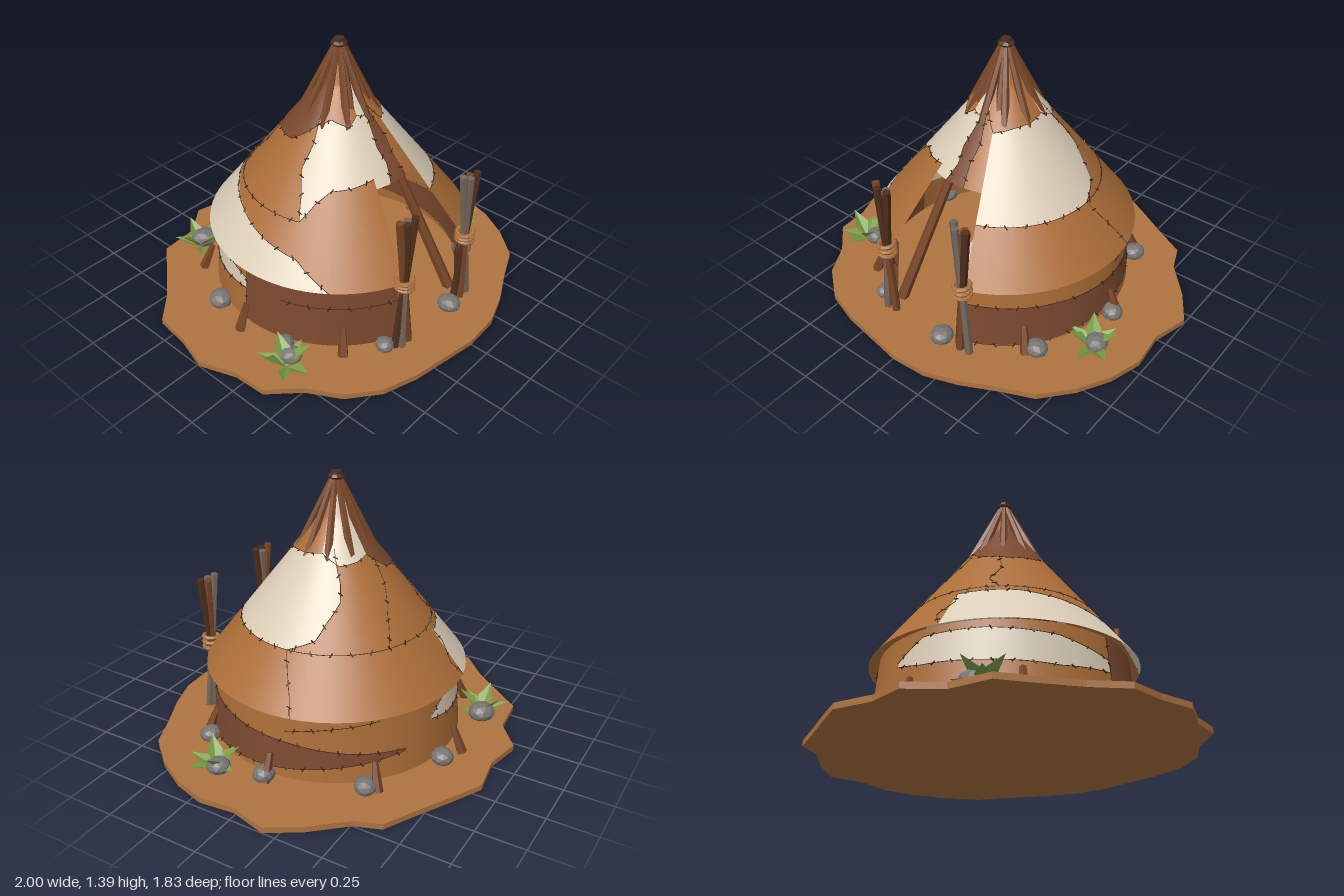
import * as THREE from 'three';

const mat = (name, color, extra = {}) => new THREE.MeshStandardMaterial({ name, color, ...extra });
const cloth = { side: THREE.DoubleSide };
const flat = { flatShading: true };
const M = {
  tan: mat('tan hide', 0xac6e38, cloth),
  red: mat('red brown hide', 0x7b492f, cloth),
  cream: mat('cream hide', 0xdccfb9, cloth),
  earth: mat('earth', 0xae7340, flat),
  wood: mat('wood', 0x784526, flat),
  dark: mat('dark wood', 0x4f2e1b, flat),
  weathered: mat('weathered wood', 0x75655a, flat),
  stone: mat('stone', 0x777472, flat),
  leaf: mat('leaf', 0x7b9f46, { flatShading: true, side: THREE.DoubleSide }),
  seam: mat('seam thread', 0x3a2415),
};
const RAD = Math.PI / 180;
const V = (x, y, z) => new THREE.Vector3(x, y, z);

// Radius by height for the roof and the lower wall
const ROOF = [[0.4, 0.675], [1.02, 0.2], [1.18, 0.085], [1.33, 0.03]];
const WALL = [[0.05, 0.655], [0.42, 0.62]];
function radiusAt(profile, y) {
  let i = 0;
  while (i < profile.length - 2 && y > profile[i + 1][0]) i++;
  const [y0, r0] = profile[i], [y1, r1] = profile[i + 1];
  return r0 + (r1 - r0) * (y - y0) / (y1 - y0);
}
// Angle 0 is the front, 90 is +x
const polar = (deg, r, y) => V(Math.sin(deg * RAD) * r, y, Math.cos(deg * RAD) * r);
const onSurface = (profile, [a, y], lift = 0) => polar(a, radiusAt(profile, y) + lift, y);

// Point at fraction t of a polyline of [angle, height] points
function along(pts, t) {
  const f = t * (pts.length - 1), i = Math.min(Math.floor(f), pts.length - 2), k = f - i;
  return [0, 1].map(j => pts[i][j] + (pts[i + 1][j] - pts[i][j]) * k);
}

function add(parent, name, geo, material) {
  const m = new THREE.Mesh(geo, material);
  m.name = name;
  parent.add(m);
  return m;
}

// Hide panel stretched between two polylines on a surface of revolution
function panel(parent, name, profile, material, a, b, lift = 0) {
  const n = 24, pos = [], idx = [];
  for (let i = 0; i <= n; i++) for (let j = 0; j <= n; j++) {
    const p = along(a, i / n), q = along(b, i / n), k = j / n;
    pos.push(...onSurface(profile, [p[0] + (q[0] - p[0]) * k, p[1] + (q[1] - p[1]) * k], lift).toArray());
  }
  // Keep the outside as the front whichever way the outlines run
  const e = (u, v) => [u[0] - v[0], u[1] - v[1]];
  const d1 = e(along(a, 0.6), along(a, 0.4)), d2 = e(along(b, 0.5), along(a, 0.5));
  const flip = d1[0] * d2[1] - d1[1] * d2[0] < 0;
  for (let i = 0; i < n; i++) for (let j = 0; j < n; j++) {
    const p = i * (n + 1) + j, q = p + n + 1;
    if (flip) idx.push(p, p + 1, q, q, p + 1, q + 1);
    else idx.push(p, q, p + 1, q, q + 1, p + 1);
  }
  const g = new THREE.BufferGeometry();
  g.setAttribute('position', new THREE.Float32BufferAttribute(pos, 3));
  g.setIndex(idx);
  g.computeVertexNormals();
  add(parent, name, g, material);
}

// Tapered stick between two points
function rod(parent, name, a, b, ra, rb, material, sides = 6) {
  const m = add(parent, name, new THREE.CylinderGeometry(rb, ra, a.distanceTo(b), sides), material);
  m.position.copy(a).add(b).multiplyScalar(0.5);
  m.quaternion.setFromUnitVectors(V(0, 1, 0), b.clone().sub(a).normalize());
}

// Thread with cross stitches
function seam(parent, profile, pts) {
  const path = [];
  for (let i = 0; i <= 40; i++) path.push(onSurface(profile, along(pts, i / 40), 0.003));
  const curve = new THREE.CatmullRomCurve3(path);
  add(parent, 'seam', new THREE.TubeGeometry(curve, 50, 0.0018, 4), M.seam);
  const count = Math.max(2, Math.round(curve.getLength() / 0.095));
  for (let i = 0; i < count; i++) {
    const t = (i + 0.5) / count, p = curve.getPointAt(t), d = curve.getTangentAt(t);
    const side = d.clone().cross(V(p.x, 0.3, p.z).normalize()).normalize().multiplyScalar(0.011);
    side.addScaledVector(d, i % 2 ? 0.007 : -0.007);
    rod(parent, 'stitch', p.clone().sub(side), p.clone().add(side), 0.0035, 0.0035, M.seam, 4);
  }
}

// Broad pointed leaf folded along its middle
function leafGeometry() {
  const p = [[0, 0, 0], [-0.042, 0.06, 0.07], [0, 0.045, 0.08], [0.042, 0.06, 0.07], [0, 0.09, 0.16]];
  const g = new THREE.BufferGeometry();
  g.setAttribute('position', new THREE.Float32BufferAttribute(p.flat(), 3));
  g.setIndex([0, 1, 2, 0, 2, 3, 1, 4, 2, 2, 4, 3]);
  g.computeVertexNormals();
  return g;
}

export function createModel() {
  const model = new THREE.Group();
  const group = (name, x = 0, y = 0, z = 0) => {
    const g = new THREE.Group();
    g.name = name;
    g.position.set(x, y, z);
    model.add(g);
    return g;
  };

  // Ragged ground slab
  const rim = [[-.19, -.92], [0, -.88], [.2, -.91], [.37, -.82], [.53, -.73], [.7, -.64], [.75, -.51], [.9, -.34],
    [1, -.18], [.95, .01], [.97, .2], [.92, .37], [.83, .53], [.7, .68], [.54, .75], [.36, .84], [.19, .9], [0, .91],
    [-.18, .88], [-.36, .85], [-.54, .79], [-.69, .67], [-.78, .51], [-.92, .37], [-.93, .2], [-1, .01],
    [-.95, -.17], [-.93, -.35], [-.79, -.48], [-.66, -.64], [-.55, -.78], [-.34, -.8]];
  const shape = new THREE.Shape(rim.map(([x, z]) => new THREE.Vector2(x, -z)));
  add(model, 'ground', new THREE.ExtrudeGeometry(shape, { depth: 0.03, bevelEnabled: false }).rotateX(-Math.PI / 2), M.earth);

  // Lower wall
  const wall = group('lowerWall', .005, 0, .02);
  const redTop = [[21, .28], [60, .27], [100, .24], [130, .2], [152, .18]];
  const redLow = [[21, .05], [50, .055], [90, .09], [120, .13], [152, .17]];
  const creamTop = [[168, .29], [182, .38], [210, .38], [240, .36], [266, .3]];
  const creamLow = [[168, .27], [182, .24], [210, .22], [240, .21], [266, .24]];
  const flatLine = (a, b, y) => [[a, y], [b, y]];
  panel(wall, 'upperWallHide', WALL, M.tan, redTop, flatLine(21, 152, .42));
  panel(wall, 'redWallHide', WALL, M.red, redLow, redTop);
  panel(wall, 'lowerWallHide', WALL, M.tan, flatLine(21, 152, .05), redLow);
  panel(wall, 'rearWallHide', WALL, M.tan, flatLine(152, 168, .05), flatLine(152, 168, .42));
  panel(wall, 'aboveCreamHide', WALL, M.tan, creamTop, flatLine(168, 266, .42));
  panel(wall, 'creamWallHide', WALL, M.cream, creamLow, creamTop);
  panel(wall, 'belowCreamHide', WALL, M.tan, flatLine(168, 266, .05), creamLow);
  panel(wall, 'leftWallHide', WALL, M.red, flatLine(266, 339, .05), flatLine(266, 339, .42));
  [redTop, redLow, creamTop, creamLow, [[266, .05], [266, .42]], [[285, .27], [339, .27]],
    [[98, .3], [115, .33], [140, .36]]].forEach(p => seam(wall, WALL, p));

  // Lower roof band
  const roof = group('roof', .005, 0, .02);
  const sweep = [[192, .62], [225, .62], [250, .59], [270, .55], [292, .51], [308, .4]];
  const rise = [[289, .65], [297, .73], [306, .78], [322, .79], [339, .81]];
  panel(roof, 'lowerRoofHide', ROOF, M.tan, flatLine(21, 192, .4), flatLine(21, 192, .66));
  panel(roof, 'creamLowerHide', ROOF, M.cream, flatLine(192, 308, .4), sweep);
  panel(roof, 'leftRoofHide', ROOF, M.tan, sweep, flatLine(192, 308, .65));
  panel(roof, 'doorSideHide', ROOF, M.tan, flatLine(308, 339, .4), flatLine(308, 339, .65));
  panel(roof, 'risingHide', ROOF, M.tan, flatLine(289, 339, .65), rise);
  // Upper roof band
  const edge = [[92, .65], [108, .7], [114, .77], [124, .85], [125, .92], [118, 1.06]];
  const leftEdge = [[289, .65], [286, .75], [280, .85], [284, .95], [282, 1.06]];
  const strip = [[351, .77], [355, .85], [352, .92], [358, 1.06]];
  const strip2 = [[367, .77], [366, .87], [370, .95], [366, 1.06]];
  const up = (a, y = .65) => [[a, y], [a, 1.06]];
  panel(roof, 'rightCreamHide', ROOF, M.cream, up(21), edge);
  panel(roof, 'rearUpperHide', ROOF, M.tan, edge, leftEdge);
  panel(roof, 'leftCreamHide', ROOF, M.cream, rise, flatLine(282, 339, 1.06));
  panel(roof, 'leftCreamEdge', ROOF, M.cream, leftEdge, [[289, .65], [282, 1.06]]);
  panel(roof, 'lintelCreamHide', ROOF, M.cream, up(339, .77), strip);
  panel(roof, 'lintelRedHide', ROOF, M.red, strip, strip2);
  panel(roof, 'lintelTanHide', ROOF, M.tan, strip2, up(381, .77));
  // Top cap with a ragged hem
  const hem = (name, m, pts) => {
    panel(roof, name, ROOF, m, pts, flatLine(pts[0][0], pts[pts.length - 1][0], 1.31), 0.004);
    seam(roof, ROOF, pts);
  };
  hem('tanCapHide', M.tan, [[8, 1.08], [22, 1.0], [50, 1.02], [80, 1.03], [100, 1.04]]);
  hem('creamCapHide', M.cream, [[100, 1.04], [125, .99], [148, 1.0], [166, 1.02]]);
  hem('redCapHide', M.red, [[166, 1.02], [190, .94], [222, .91], [255, .93], [282, 1.02]]);
  hem('leftCapHide', M.tan, [[282, 1.02], [300, 1.05], [325, 1.02], [340, 1.06]]);
  hem('creamTipHide', M.cream, [[340, 1.06], [350, 1.05], [358, 1.06], [368, 1.08]]);
  [flatLine(21, 192, .65), sweep, flatLine(192, 289, .65), rise, edge, leftEdge, strip, strip2,
    [[192, .4], [188, .48], [194, .56], [192, .62]], [[92, .65], [97, .55], [100, .48], [102, .4]],
    [[215, .65], [208, .72], [216, .82], [212, .93]], [[152, .65], [160, .78], [172, .9], [176, 1.0]],
  ].forEach(p => seam(roof, ROOF, p));

  // Frame poles meeting at the top
  const frame = group('frame', .005, 0, .02);
  for (let k = 0; k < 10; k++)
    rod(frame, 'roofPole', polar(k * 36, 0.19, 1.0), polar(k * 36, 0.014, 1.37), 0.023, 0.015, M.wood);
  for (const s of [-1, 1]) rod(frame, 'doorPole', V(s * .25, .03, .56), V(s * .01, 1.34, .02), .03, .018, M.wood);
  rod(frame, 'centrePole', V(0, .03, 0), V(0, 1.34, 0), .03, .028, M.dark, 8);
  add(frame, 'topKnot', new THREE.CylinderGeometry(.026, .034, .06, 8), M.dark).position.y = 1.365;
  add(frame, 'topBinding', new THREE.TorusGeometry(.028, .014, 5, 10).rotateX(Math.PI / 2), M.dark).position.y = 1.37;

  // Rug and cushion inside
  add(model, 'rug', new THREE.CylinderGeometry(.23, .24, .04, 16), M.cream).position.y = .05;
  const cushion = add(model, 'cushion', new THREE.SphereGeometry(.1, 16, 8), M.cream);
  cushion.scale.y = .35;
  cushion.position.set(0, .105, .05);

  // Tied stick bundles beside the door
  for (const s of [-1, 1]) {
    const b = group('doorBundle', s * .245, 0, .658);
    const mats = s > 0 ? [M.weathered, M.dark, M.weathered, M.wood] : [M.wood, M.dark, M.dark, M.weathered];
    [[.04, .01], [-.04, -.01], [.015, -.014], [-.015, .014]].forEach(([x, z], i) =>
      rod(b, 'bundleStick', V(x, .03, z), V(-x * 1.15, .79 - i * .006, -z), .021, .02, mats[i]));
    [.39, .415, .44].forEach((y, i) => {
      const r = add(b, 'rope', new THREE.TorusGeometry(.041, .011, 6, 14).rotateX(Math.PI / 2), M.earth);
      r.position.y = y;
      r.rotation.z = (i - 1) * .15;
    });
  }

  // Pegs around the wall
  for (let k = 1; k < 8; k++) rod(model, 'peg', polar(k * 45, .715, .03), polar(k * 45, .66, .17), .028, .016, M.wood, 5);

  // Stones
  [[.12, .68, .058], [-.33, .62, .05], [.12, -.66, .058], [.53, -.45, .06], [-.64, -.22, .062], [-.65, .25, .052],
    [.54, .46, .055], [.69, .02, .06], [-.36, -.67, .068], [-.69, .33, .058], [.75, .25, .058]].forEach(([x, z, r], i) => {
    const st = add(model, 'stone', new THREE.IcosahedronGeometry(r, 1), M.stone);
    st.scale.set(1, .75, i % 2 ? .9 : 1.08);
    st.rotation.y = i * 1.3;
    st.position.set(x, .03 + r * .5, z);
  });

  // Leafy plants
  const leaf = leafGeometry();
  [[-.74, .35], [.74, .27], [-.4, -.65]].forEach(([x, z], i) => {
    const plant = group('plant', x, .03, z);
    for (let k = 0; k < 7; k++) {
      const l = add(plant, 'leaf', leaf, M.leaf);
      l.rotation.order = 'YXZ';
      l.rotation.set(k % 2 ? -.3 : .15, i + k * Math.PI * 2 / 7, 0);
      l.scale.setScalar(k % 2 ? .95 : .85);
    }
  });
  return model;
}
